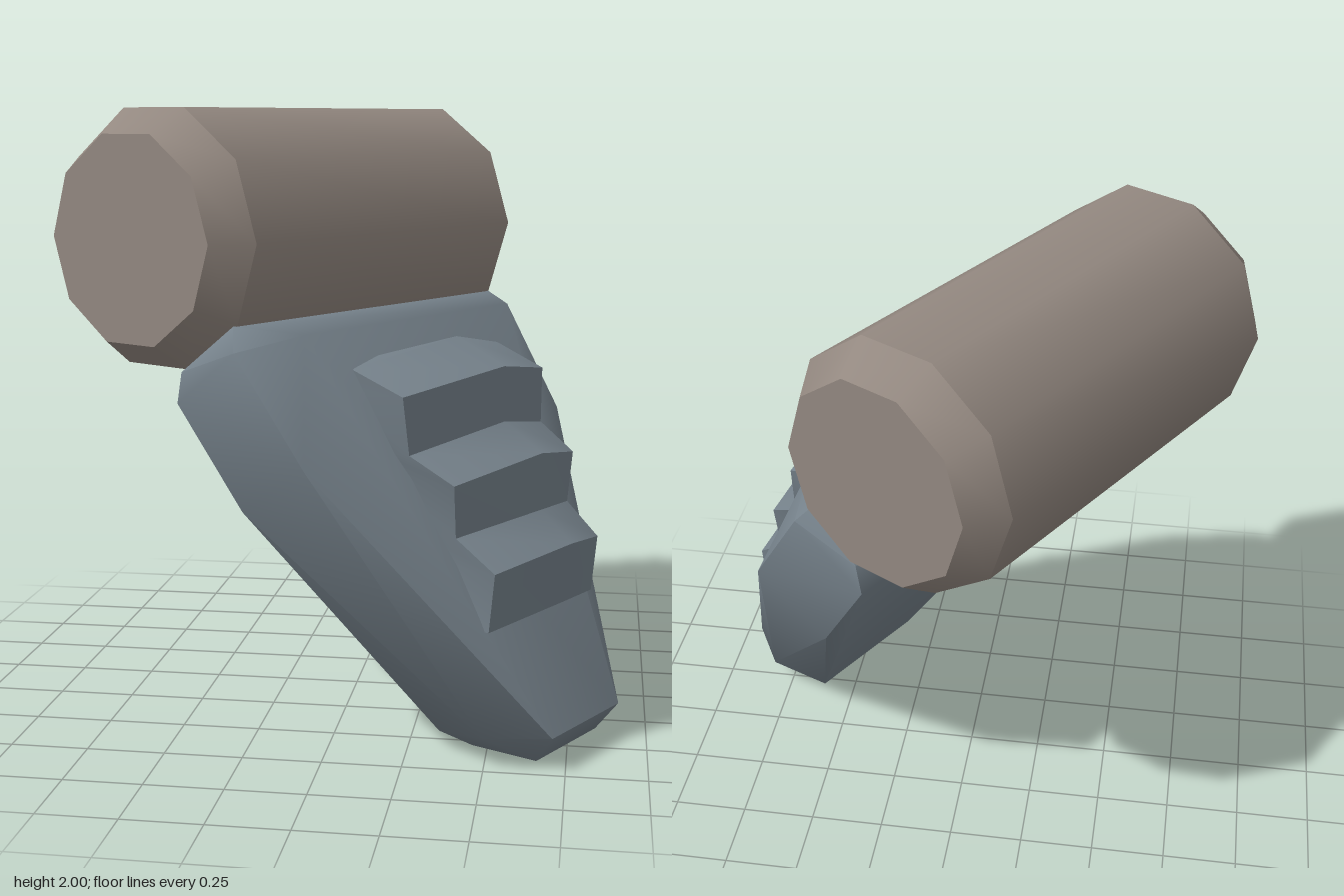
import * as THREE from 'three';
import { toCreasedNormals } from 'three/addons/utils/BufferGeometryUtils.js';
import { ConvexGeometry } from 'three/addons/geometries/ConvexGeometry.js';

const barrelColour = new THREE.MeshStandardMaterial({ color: 0x938880 });
barrelColour.name = 'warmGrey';
const bladeColour = new THREE.MeshStandardMaterial({ color: 0x75818a });
bladeColour.name = 'slateGrey';

function addMesh(parent, name, geometry, material) {
  const mesh = new THREE.Mesh(geometry, material);
  mesh.name = name;
  parent.add(mesh);
  return mesh;
}

// Ten-sided barrel lying along z, with chamfered ends
function makeBarrel() {
  const barrel = new THREE.Group();
  barrel.name = 'barrel';
  const body = new THREE.CylinderGeometry(0.42, 0.42, 1.34, 10, 1, true, Math.PI / 2);
  addMesh(barrel, 'barrelBody', body.rotateX(Math.PI / 2), barrelColour);
  for (const side of [1, -1]) {
    const end = new THREE.CylinderGeometry(0.336, 0.42, 0.12, 10, 1, false, Math.PI / 2);
    end.translate(0, 0.73, 0).rotateX(side * Math.PI / 2);
    addMesh(barrel, side > 0 ? 'frontBarrelEnd' : 'backBarrelEnd', end, barrelColour);
  }
  barrel.position.set(-0.2, 1.6, 0);
  return barrel;
}

// Sloping tapered slab: [x, y, half width] of mirrored corner pairs
function makeBladeGeometry() {
  const corners = [
    [0.98, 0.11, 0.2], [0.3, 1.325, 0.55],                          // outer face
    [0.8, 0.1, 0.31], [0.42, 0.95, 0.7], [0.185, 1.28, 0.74],       // outer rim
    [0.13, 1.35, 0.68],                                             // top edge
    [-0.05, 1.2, 0.72], [-0.07, 1.1, 0.72], [0.15, 0.78, 0.67],     // inner rim
    [0.594, 0.06, 0.25], [0.66, 0, 0.16], [0.91, 0.015, 0.177],     // foot
  ];
  const points = [];
  for (const [x, y, w] of corners) {
    points.push(new THREE.Vector3(x, y, w), new THREE.Vector3(x, y, -w));
  }
  return toCreasedNormals(new ConvexGeometry(points), 1.05);
}

// Three chevron steps: rows of [corner x, corner y, half width, ridge x, ridge y]
function makeStepsGeometry() {
  const rows = [
    [0.36, 1.21, 0.4, 0.47, 1.28],
    [0.55, 1.14, 0.39, 0.655, 1.2],
    [0.56, 0.96, 0.37, 0.66, 1.025],
    [0.706, 0.88, 0.34, 0.8, 0.94],
    [0.7, 0.715, 0.32, 0.8, 0.76],
    [0.83, 0.62, 0.3, 0.915, 0.67],
    [0.81, 0.435, 0.3, 0.89, 0.48],
  ];
  const positions = [];
  const index = [];
  rows.forEach(([x, y, w, ridgeX, ridgeY], r) => {
    const rootX = 0.9 - 0.563 * (y - 0.11); // buried in the blade
    positions.push(rootX, y, w, x, y, w, ridgeX, ridgeY, 0, x, y, -w, rootX, y, -w);
    if (r === 0) return;
    for (let c = 0; c < 4; c++) {
      const a = (r - 1) * 5 + c;
      const b = r * 5 + c;
      index.push(a, b, b + 1, a, b + 1, a + 1);
    }
  });
  // Top and bottom caps, fanned from the ridge
  const last = (rows.length - 1) * 5;
  for (const [i, j] of [[0, 1], [3, 4], [4, 0]]) {
    index.push(2, i, j);
    index.push(last + 2, last + j, last + i);
  }
  const geometry = new THREE.BufferGeometry();
  geometry.setAttribute('position', new THREE.Float32BufferAttribute(positions, 3));
  geometry.setIndex(index);
  return toCreasedNormals(geometry, 0.7);
}

export function createModel() {
  const model = new THREE.Group();
  model.name = 'steppedLever';

  // The whole lever is turned 30 degrees about the vertical
  const turned = new THREE.Group();
  turned.name = 'lever';
  turned.rotation.y = -Math.PI / 6;
  turned.position.set(-0.04, 0, 0.07);
  model.add(turned);

  turned.add(makeBarrel());
  addMesh(turned, 'blade', makeBladeGeometry(), bladeColour);
  addMesh(turned, 'gripSteps', makeStepsGeometry(), bladeColour);
  return model;
}
